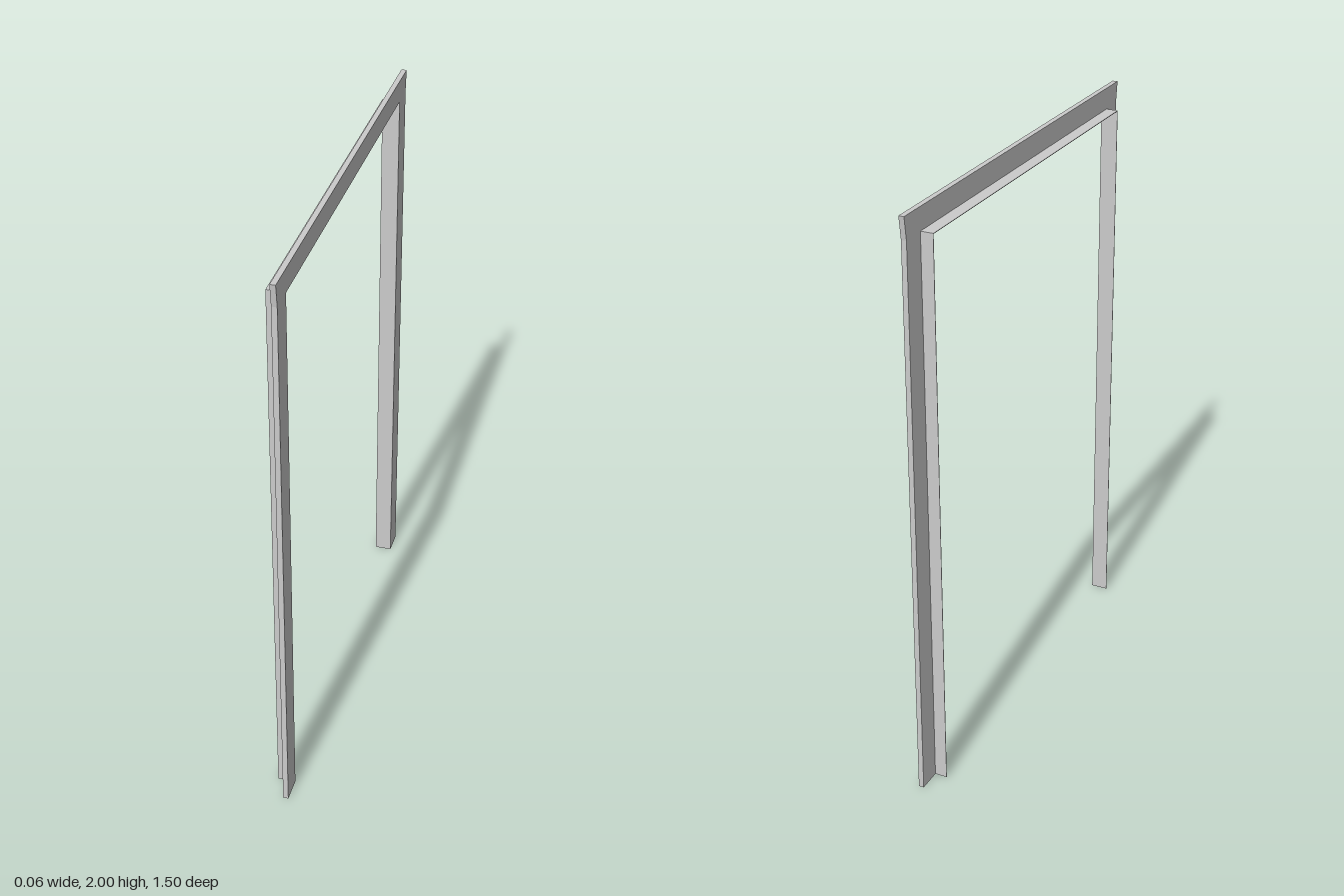
import * as THREE from 'three';

export function createModel() {
  const model = new THREE.Group();
  const mat = new THREE.MeshStandardMaterial({ color: 0xcccccc, flatShading: true });
  const add = (name, geo, x, y, z) => {
    const mesh = new THREE.Mesh(geo, mat);
    mesh.name = name;
    mesh.position.set(x, y, z);
    model.add(mesh);
  };

  const inner = 0.657, outer = 0.74, flare = 0.75; // half widths along z
  const lintel = 1.924, top = 2;                   // heights
  const back = -0.03, face = 0.012, front = 0.03;  // depths along x
  const sheet = 0.002;                             // lining thickness

  // Flat casing: two legs and a header with flared ends
  const outline = new THREE.Shape([
    [-outer, 0], [-inner, 0], [-inner, lintel], [inner, lintel], [inner, 0], [outer, 0],
    [outer, lintel], [flare, top], [-flare, top], [-outer, lintel],
  ].map(([z, y]) => new THREE.Vector2(z, y)));
  const casing = new THREE.ExtrudeGeometry(outline, { depth: front - face, bevelEnabled: false });
  casing.rotateY(Math.PI / 2);
  add('casing', casing, face, 0, 0);

  // Thin lining boards behind the casing, around the opening
  const depth = face - back, midX = (face + back) / 2;
  for (const side of [1, -1]) {
    add(side > 0 ? 'frontJamb' : 'backJamb', new THREE.BoxGeometry(depth, lintel, sheet),
      midX, lintel / 2, side * (inner + sheet / 2));
  }
  add('headJamb', new THREE.BoxGeometry(depth, sheet, 2 * (inner + sheet)), midX, lintel + sheet / 2, 0);

  return model;
}
